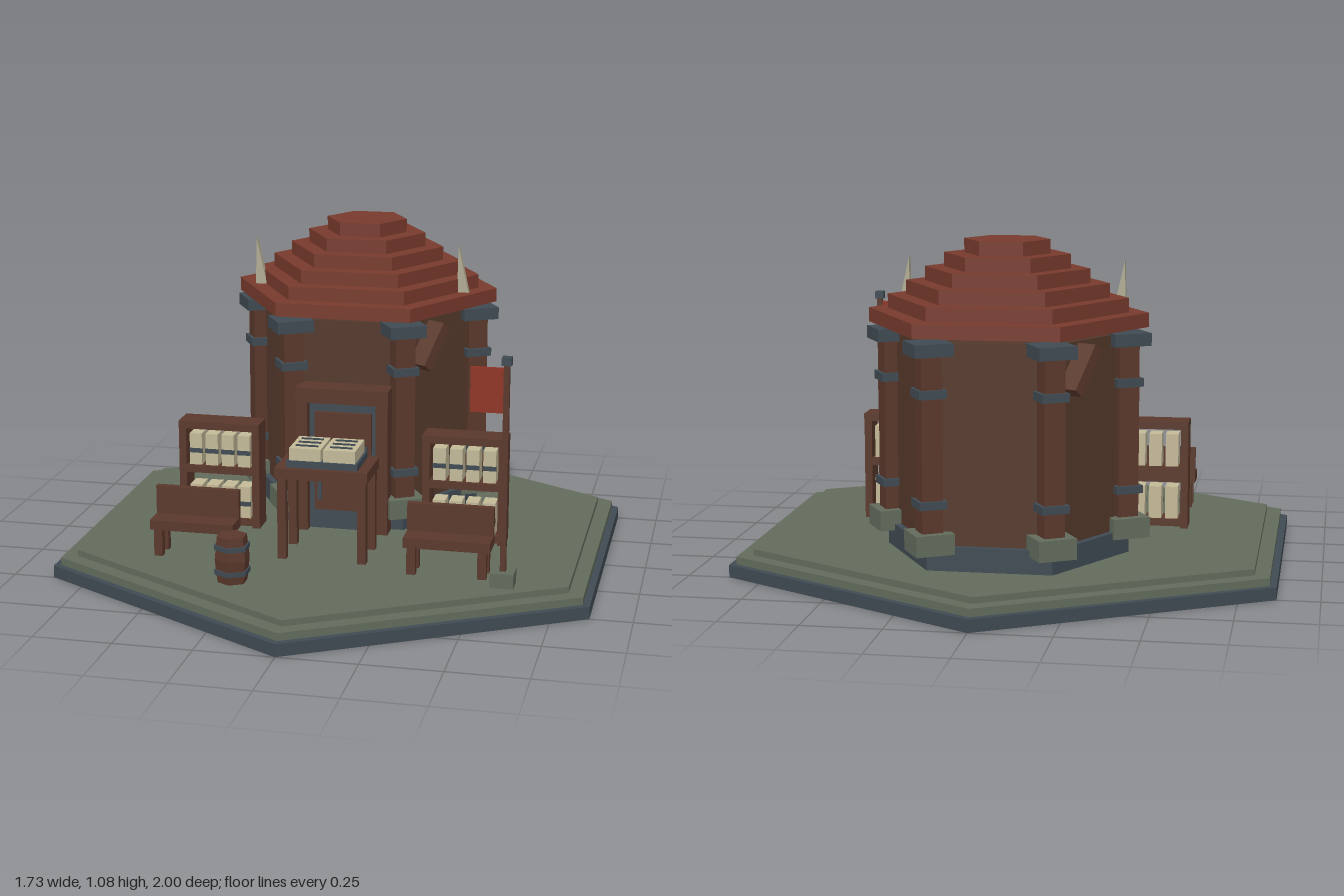
import * as THREE from 'three';

const mat = (name, color) => {
  const m = new THREE.MeshStandardMaterial({ color });
  m.name = name;
  return m;
};

export function createModel() {
  const stone = mat('mossy stone', 0x626b5c);
  const slate = mat('slate', 0x3f4a52);
  const roofRed = mat('roof red', 0x783a2d);
  const wood = mat('wood', 0x5a382b);
  const wallWood = mat('wall wood', 0x54382b);
  const cream = mat('paper', 0xc3b998);
  const bone = mat('bone', 0xb0ab92);
  const flagRed = mat('flag red', 0x8f3222);

  const model = new THREE.Group();
  const group = (name, x = 0, y = 0, z = 0, parent = model) => {
    const g = new THREE.Group();
    g.name = name;
    g.position.set(x, y, z);
    parent.add(g);
    return g;
  };
  const add = (parent, name, geo, m, x = 0, y = 0, z = 0) => {
    const o = new THREE.Mesh(geo, m);
    o.name = name;
    o.position.set(x, y, z);
    parent.add(o);
    return o;
  };
  // box given by its limits on each axis
  const box = (parent, name, m, x0, x1, y0, y1, z0, z1) =>
    add(parent, name, new THREE.BoxGeometry(x1 - x0, y1 - y0, z1 - z0), m,
      (x0 + x1) / 2, (y0 + y1) / 2, (z0 + z1) / 2);
  // six-sided prism; turned puts corners on the x axis
  const hex = (parent, name, m, r, y0, y1, turned = false, rTop = r) => {
    const g = new THREE.CylinderGeometry(rTop, r, y1 - y0, 6).toNonIndexed();
    if (turned) g.rotateY(Math.PI / 6);
    g.computeVertexNormals();
    return add(parent, name, g, m, 0, (y0 + y1) / 2, 0);
  };

  // stepped ground
  const ground = group('ground');
  hex(ground, 'lowerSlab', slate, 1, 0, 0.04);
  hex(ground, 'middleSlab', stone, 0.975, 0.04, 0.065);
  hex(ground, 'upperSlab', stone, 0.92, 0.065, 0.085);

  // hut body and tiered roof
  const hut = group('hut', 0, 0, -0.3);
  hex(hut, 'plinth', slate, 0.39, 0.085, 0.16, true);
  hex(hut, 'walls', wallWood, 0.365, 0.16, 0.785, true);
  const tiers = [0.447, 0.385, 0.325, 0.263, 0.202, 0.137];
  tiers.forEach((r, i) => hex(hut, 'roofTier', roofRed, r, 0.806 + i * 0.045, 0.851 + i * 0.045, true));

  // corner posts, all turned the same way
  for (let i = 0; i < 6; i++) {
    const a = (i * Math.PI) / 3;
    const p = group('cornerPost', 0.375 * Math.cos(a), 0, 0.375 * Math.sin(a), hut);
    p.rotation.y = Math.PI / 6;
    const block = (name, m, s, y0, y1) => box(p, name, m, -s / 2, s / 2, y0, y1, -s / 2, s / 2);
    block('post', wood, 0.067, 0.15, 0.76);
    block('foot', stone, 0.123, 0.14, 0.205);
    block('lowerBand', slate, 0.088, 0.28, 0.305);
    block('upperBand', slate, 0.088, 0.62, 0.647);
    block('cap', slate, 0.123, 0.75, 0.79);
  }

  // slanted braces on two opposite walls
  for (const s of [1, -1]) {
    const b = add(hut, 'brace', new THREE.BoxGeometry(0.04, 0.16, 0.065), wood, 0.27 * s, 0.71, 0.285 * s);
    b.rotation.set(0, Math.PI / 3 + (s < 0 ? Math.PI : 0), -0.65);
  }

  // horns on the roof, both leaning the same way
  const hornShape = new THREE.Shape([
    new THREE.Vector2(-0.02, 0), new THREE.Vector2(0.02, 0), new THREE.Vector2(-0.016, 0.16)]);
  const hornGeo = new THREE.ExtrudeGeometry(hornShape, { depth: 0.025, bevelEnabled: false });
  for (const x of [-0.347, 0.347]) add(model, 'roofHorn', hornGeo, bone, x, 0.845, -0.23);

  // door
  const door = group('door');
  for (const s of [-1, 1]) {
    box(door, 'jamb', wood, s * 0.135 - 0.02, s * 0.135 + 0.02, 0.085, 0.525, 0, 0.105);
    box(door, 'strap', slate, s * 0.077 - 0.007, s * 0.077 + 0.007, 0.19, 0.38, 0.085, 0.093);
  }
  box(door, 'lintel', wood, -0.155, 0.155, 0.525, 0.575, 0, 0.105);
  box(door, 'recess', slate, -0.115, 0.115, 0.085, 0.525, 0, 0.07);
  box(door, 'leaf', wood, -0.095, 0.095, 0.155, 0.49, 0.07, 0.086);
  box(door, 'handle', slate, 0.022, 0.034, 0.3, 0.33, 0.086, 0.1);

  // table with an open book
  const table = group('table');
  box(table, 'tableTop', wood, -0.15, 0.15, 0.355, 0.39, 0.217, 0.408);
  for (const x of [-0.13, 0.13]) for (const z of [0.24, 0.385])
    box(table, 'tableLeg', wood, x - 0.014, x + 0.014, 0.085, 0.355, z - 0.014, z + 0.014);
  box(table, 'bookCover', slate, -0.115, 0.115, 0.39, 0.412, 0.238, 0.392);
  for (const s of [-1, 1]) {
    box(table, 'page', cream, s * 0.0555 - 0.0515, s * 0.0555 + 0.0515, 0.412, 0.452, 0.244, 0.386);
    for (const z of [0.275, 0.315, 0.355])
      box(table, 'inkLine', slate, s * 0.0555 - 0.036, s * 0.0555 + 0.036, 0.452, 0.456, z - 0.004, z + 0.004);
  }

  for (const s of [-1, 1]) {
    // bookcase, open at front and back
    const c = group('bookcase', s * 0.412);
    for (const t of [-1, 1])
      box(c, 'side', wood, t * 0.125 - 0.0125, t * 0.125 + 0.0125, 0.085, 0.425, 0.042, 0.128);
    box(c, 'top', wood, -0.1375, 0.1375, 0.42, 0.445, 0.038, 0.132);
    box(c, 'middleShelf', wood, -0.113, 0.113, 0.268, 0.293, 0.042, 0.128);
    box(c, 'bottomShelf', wood, -0.113, 0.113, 0.092, 0.116, 0.042, 0.128);
    for (const y of [0.116, 0.293]) for (let i = 0; i < 4; i++) {
      const x = (i - 1.5) * 0.055;
      box(c, 'book', cream, x - 0.021, x + 0.021, y, y + 0.108, 0.052, 0.118);
      box(c, 'bookBand', slate, x - 0.022, x + 0.022, y + 0.042, y + 0.057, 0.113, 0.121);
    }

    // bench facing forward
    const b = group('bench', s * 0.412);
    box(b, 'seat', wood, -0.1375, 0.1375, 0.173, 0.205, 0.365, 0.46);
    box(b, 'backrest', wood, -0.1375, 0.1375, 0.205, 0.297, 0.363, 0.385);
    for (const x of [-0.112, 0.112]) for (const z of [0.381, 0.444])
      box(b, 'benchLeg', wood, x - 0.014, x + 0.014, 0.085, 0.173, z - 0.013, z + 0.013);
  }

  // barrel
  const barrel = group('barrel', -0.23, 0, 0.627);
  hex(barrel, 'lowerHalf', wood, 0.048, 0.085, 0.16, false, 0.056);
  hex(barrel, 'upperHalf', wood, 0.056, 0.16, 0.235, false, 0.048);
  hex(barrel, 'lowerHoop', slate, 0.058, 0.112, 0.127);
  hex(barrel, 'upperHoop', slate, 0.058, 0.192, 0.207);

  // flag
  const flag = group('flag', 0.595, 0, 0.487);
  box(flag, 'flagFoot', stone, -0.037, 0.037, 0.085, 0.132, -0.035, 0.035);
  box(flag, 'pole', wood, -0.009, 0.009, 0.132, 0.79, -0.009, 0.009);
  box(flag, 'poleCap', slate, -0.015, 0.015, 0.785, 0.81, -0.015, 0.015);
  box(flag, 'banner', flagRed, -0.11, -0.009, 0.635, 0.775, -0.006, 0.006);

  return model;
}
